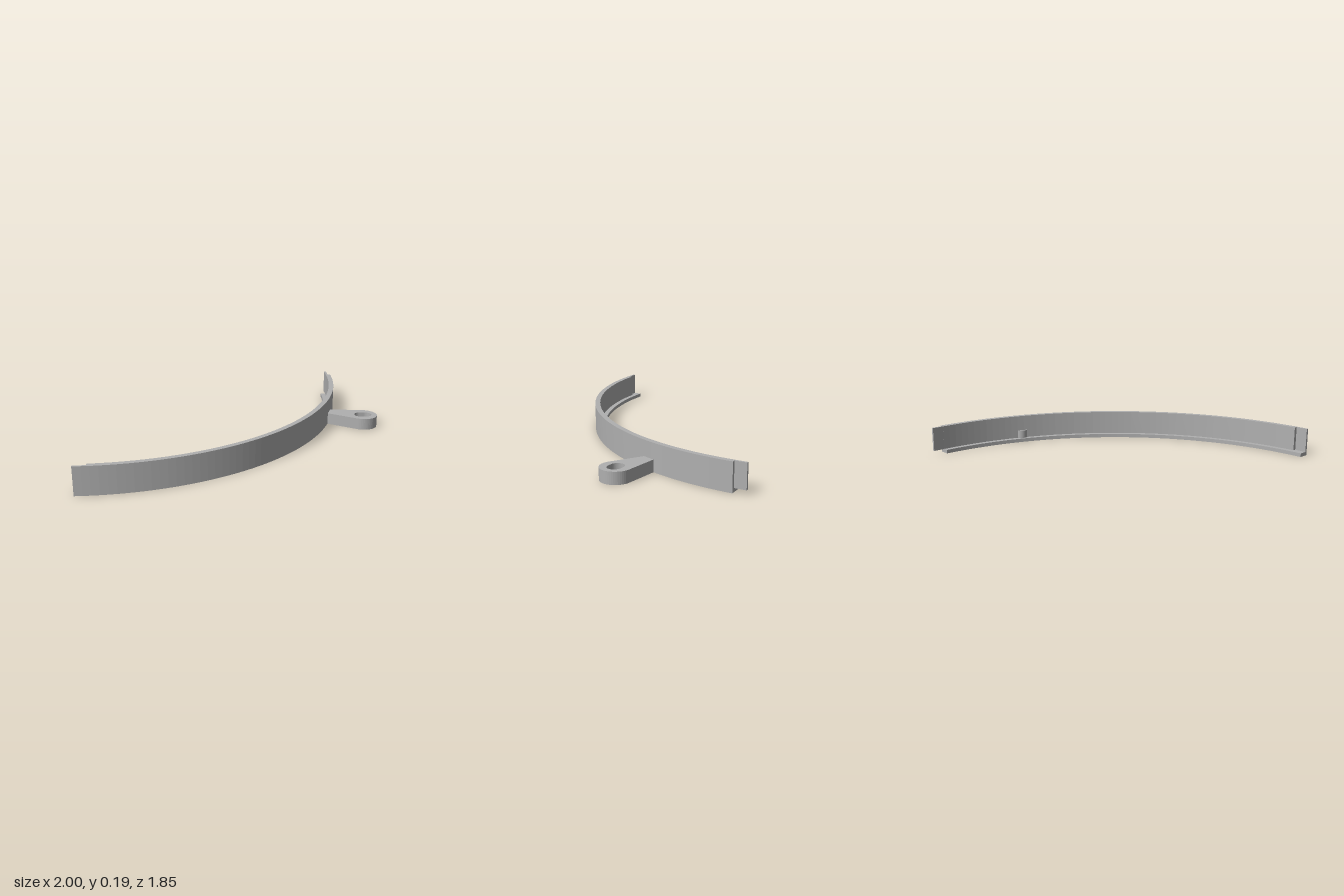
import * as THREE from 'three';

// Arc centre in x,z and the radii of lip, wall and outer face
const CX = -1, CZ = -0.85;
const R_LIP = 1.705, R_WALL = 1.74, R_OUT = 1.775;
const LIP_H = 0.025, HEIGHT = 0.185, TAB_H = 0.08;

// Extrude a plan drawn in (x, z) between two heights
function slab(name, plan, y0, y1, curveSegments, material) {
  const geo = new THREE.ExtrudeGeometry(plan, { depth: y1 - y0, bevelEnabled: false, curveSegments });
  geo.rotateX(Math.PI / 2).translate(0, y1, 0);
  const mesh = new THREE.Mesh(geo, material);
  mesh.name = name;
  return mesh;
}

export function createModel() {
  const group = new THREE.Group();
  group.name = 'curvedRimSegment';
  const grey = new THREE.MeshStandardMaterial({ color: 0xb0b0b0 });
  grey.name = 'grey';

  // Full-width bottom band whose inner half forms the lip
  const band = new THREE.Shape();
  band.absarc(CX, CZ, R_OUT, 0, Math.PI / 2, false);
  band.absarc(CX, CZ, R_LIP, Math.PI / 2, 0, true);
  group.add(slab('bottomLip', band, 0, LIP_H, 28, grey));

  // Thin wall, thinned from inside at the left end to take a tongue
  const notchX = -0.92, notchZ = 0.91;
  const wall = new THREE.Shape();
  wall.absarc(CX, CZ, R_OUT, 0, Math.PI / 2, false);
  wall.lineTo(CX, notchZ);
  wall.lineTo(notchX, notchZ);
  wall.absarc(CX, CZ, R_WALL, Math.acos((notchX - CX) / R_WALL), 0, true);
  group.add(slab('wall', wall, LIP_H, HEIGHT, 28, grey));

  // Joining tongue beyond the back end
  const tongue = new THREE.Mesh(new THREE.BoxGeometry(0.015, HEIGHT - LIP_H, 0.08), grey);
  tongue.position.set(0.748, (HEIGHT + LIP_H) / 2, -0.887);
  tongue.name = 'tongue';
  group.add(tongue);

  // Tapered mounting tab: hull of a small and a large circle with a slot
  const a = { x: 0.655, z: -0.25, r: 0.04 };
  const b = { x: 0.9, z: -0.163, r: 0.1 };
  const dir = Math.atan2(b.z - a.z, b.x - a.x);
  const spread = Math.acos((a.r - b.r) / Math.hypot(b.x - a.x, b.z - a.z));
  const tab = new THREE.Shape();
  tab.absarc(b.x, b.z, b.r, dir - spread, dir + spread, false);
  tab.absarc(a.x, a.z, a.r, dir + spread, dir - spread + Math.PI * 2, false);
  tab.closePath();
  const slot = new THREE.Path();
  slot.absarc(b.x + 0.015, b.z, 0.046, -Math.PI / 2, Math.PI / 2, false);
  slot.absarc(b.x - 0.015, b.z, 0.046, Math.PI / 2, Math.PI * 1.5, false);
  slot.closePath();
  tab.holes.push(slot);
  group.add(slab('mountingTab', tab, 0, TAB_H, 14, grey));

  return group;
}
